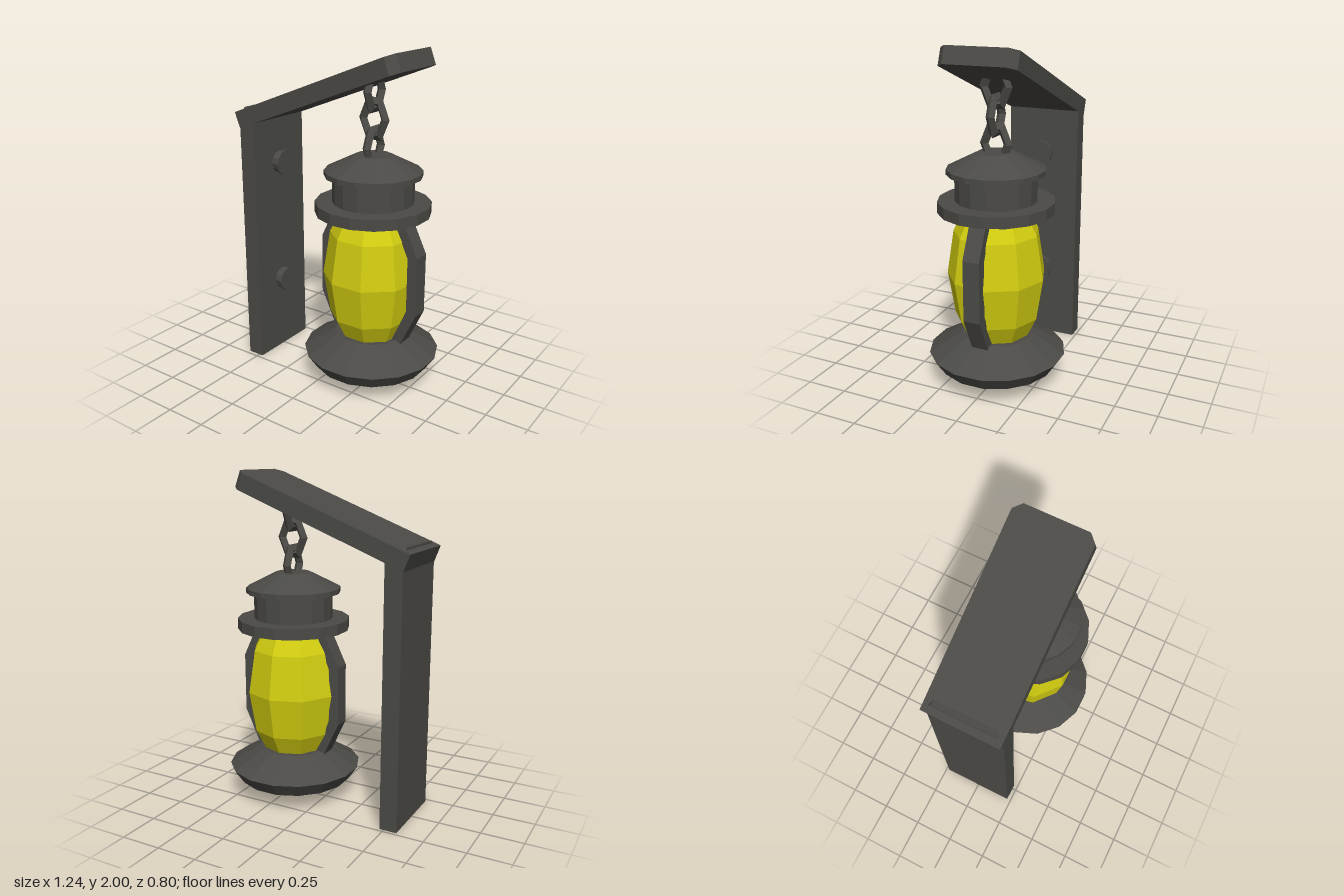
import * as THREE from 'three';

const iron = new THREE.MeshStandardMaterial({ color: 0x4b4a46, flatShading: true });
const glass = new THREE.MeshStandardMaterial({ color: 0xd2cd10, flatShading: true });
const LANTERN_X = 0.22;

function addMesh(parent, name, geometry, material = iron) {
  const mesh = new THREE.Mesh(geometry, material);
  mesh.name = name;
  parent.add(mesh);
  return mesh;
}

function extrude(points, depth) {
  const shape = new THREE.Shape(points.map(([x, y]) => new THREE.Vector2(x, y)));
  return new THREE.ExtrudeGeometry(shape, { depth, bevelEnabled: false }).translate(0, 0, -depth / 2);
}

// Plank standing on its square end, the far end with clipped corners
function plank(length, thickness) {
  const w = 0.228, clip = 0.045;
  return extrude([
    [-w, 0], [w, 0], [w, length - clip], [w - clip, length],
    [clip - w, length], [-w, length - clip],
  ], thickness).rotateY(Math.PI / 2);
}

// Turned part from a [radius, height] profile, listed bottom to top
function turned(profile, sides, start) {
  return new THREE.LatheGeometry(profile.map(([r, y]) => new THREE.Vector2(r, y)), sides, start);
}

export function createModel() {
  const model = new THREE.Group();
  model.name = 'hangingLantern';

  // Wall post and sloping arm
  addMesh(model, 'post', plank(1.615, 0.105)).position.set(-0.5275, 0, -0.003);
  const arm = addMesh(model, 'arm', plank(1.15, 0.1));
  arm.position.set(-0.6, 1.54, -0.003);
  arm.rotation.z = -THREE.MathUtils.degToRad(69);

  // Bolts: a short stem with a thin wider head
  for (const y of [0.48, 1.26]) {
    const bolt = addMesh(model, 'bolt', turned(
      [[0, 0], [0.068, 0], [0.068, 0.043], [0.08, 0.046], [0.08, 0.058], [0, 0.058]], 12, 0));
    bolt.rotation.z = -Math.PI / 2;
    bolt.position.set(-0.478, y, 0);
  }

  const lantern = new THREE.Group();
  lantern.name = 'lantern';
  lantern.position.x = LANTERN_X;
  model.add(lantern);

  // Chain links, each turned a quarter from the next
  [1.45, 1.61, 1.765].forEach((y, i) => {
    const link = addMesh(lantern, 'chainLink', new THREE.TorusGeometry(0.073, 0.027, 4, 6));
    link.scale.y = 1.39;
    link.rotation.y = i % 2 ? 0 : Math.PI / 2;
    link.position.y = y;
  });

  // Sixteen-sided metal body
  const metalParts = {
    base: [[0, 0.115], [0.348, 0.115], [0.406, 0.2], [0.216, 0.315], [0, 0.315]],
    collar: [[0, 1.065], [0.337, 1.065], [0.337, 1.13], [0, 1.13]],
    neck: [[0, 1.12], [0.237, 1.12], [0.237, 1.295], [0, 1.295]],
    roof: [[0, 1.285], [0.283, 1.285], [0.283, 1.315], [0.105, 1.405], [0, 1.405]],
  };
  for (const [name, profile] of Object.entries(metalParts)) {
    addMesh(lantern, name, turned(profile, 16, Math.PI / 16));
  }

  // Nine-sided barrel of glass
  addMesh(lantern, 'glass', turned(
    [[0, 0.3], [0.185, 0.3], [0.25, 0.43], [0.29, 0.68], [0.25, 0.94], [0.18, 1.075], [0, 1.075]],
    9, Math.PI), glass);

  // Bent guard bars on both sides
  for (const angle of [0, Math.PI]) {
    const bar = addMesh(lantern, 'guardBar', extrude([
      [0.235, 0.3], [0.33, 0.505], [0.33, 0.863], [0.225, 1.08],
      [0.16, 1.08], [0.268, 0.85], [0.268, 0.52], [0.17, 0.3],
    ], 0.1));
    bar.rotation.y = angle;
  }

  return model;
}
